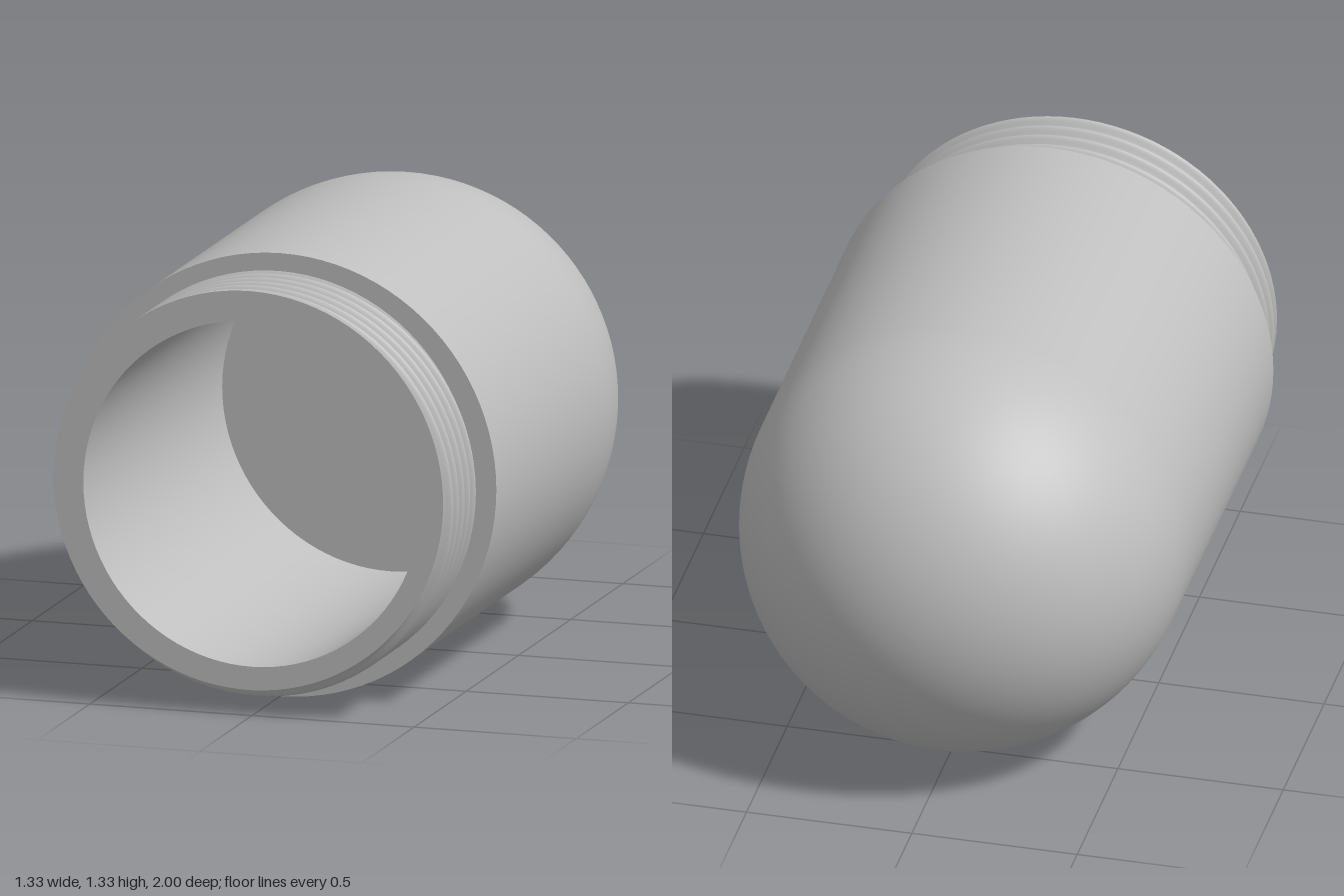
import * as THREE from 'three';

const SEG = 96;
const R = 0.667;          // outer body radius, also the dome radius
const BORE = 0.52;        // radius of the hollow
const ROOT = 0.586, CREST = 0.615, PITCH = 0.0535;
const SHOULDER_Z = 0.73, MOUTH_Z = 1, DOME_Z = -0.333, FLOOR_Z = -0.33;

// Radius of the right-handed screw thread at an angle and depth
function threadRadius(angle, z) {
  const turn = (z - MOUTH_Z) / PITCH - (angle - 2.4) / (2 * Math.PI);
  const wave = 0.5 + 0.5 * Math.cos(turn * 2 * Math.PI);
  return ROOT + (CREST - ROOT) * wave;
}

// Lathe turned so that its axis runs along z
function turned(points) {
  return new THREE.LatheGeometry(points.map(([r, z]) => new THREE.Vector2(r, z)), SEG).rotateX(Math.PI / 2);
}

export function createModel() {
  const group = new THREE.Group();
  const grey = new THREE.MeshStandardMaterial({ color: 0xbfbfbf });
  grey.name = 'grey';

  const add = (name, geometry, z = 0) => {
    const mesh = new THREE.Mesh(geometry, grey);
    mesh.name = name;
    mesh.position.set(0, R, z);
    group.add(mesh);
  };

  // Straight body closed by a hemispherical dome
  const profile = [];
  for (let i = 0; i <= 32; i++) {
    const a = (i / 32) * Math.PI / 2;
    profile.push([R * Math.sin(a), DOME_Z - R * Math.cos(a)]);
  }
  profile.push([R, SHOULDER_Z]);
  add('domedBody', turned(profile));

  // Flat step between body and neck
  add('shoulder', new THREE.RingGeometry(ROOT - 0.01, R, SEG), SHOULDER_Z);

  // Threaded neck: a cylinder displaced along a helix
  const length = MOUTH_Z - SHOULDER_Z;
  const neck = new THREE.CylinderGeometry(1, 1, length, SEG, 80, true);
  neck.rotateX(Math.PI / 2).translate(0, 0, SHOULDER_Z + length / 2);
  const p = neck.attributes.position;
  for (let i = 0; i < p.count; i++) {
    const a = Math.atan2(p.getY(i), p.getX(i));
    const r = threadRadius(a, p.getZ(i));
    p.setXY(i, r * Math.cos(a), r * Math.sin(a));
  }
  neck.computeVertexNormals();
  add('threadedNeck', neck);

  // Mouth rim, its outer edge following the thread
  const rim = new THREE.RingGeometry(BORE, 0.6, SEG, 1);
  const q = rim.attributes.position;
  for (let i = 0; i < q.count; i++) {
    if (Math.hypot(q.getX(i), q.getY(i)) < 0.56) continue;
    const a = Math.atan2(q.getY(i), q.getX(i));
    const r = threadRadius(a, MOUTH_Z);
    q.setXY(i, r * Math.cos(a), r * Math.sin(a));
  }
  add('mouthRim', rim, MOUTH_Z);

  // Hollow with a flat floor
  add('boreWall', turned([[BORE, MOUTH_Z], [BORE, FLOOR_Z]]));
  add('boreFloor', new THREE.CircleGeometry(BORE, SEG), FLOOR_Z);

  return group;
}
